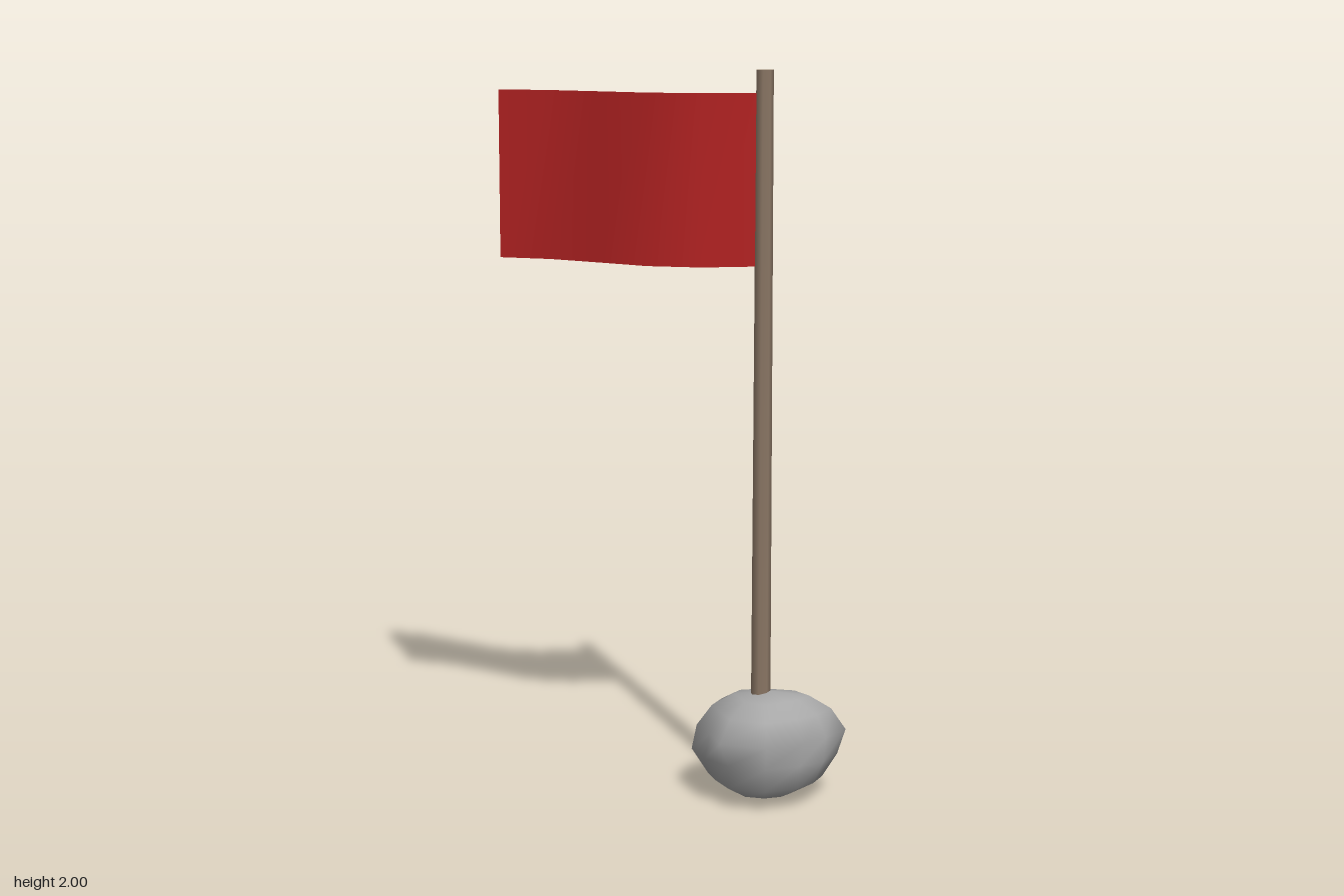
import * as THREE from 'three';

const rockGray = new THREE.MeshStandardMaterial({ color: 0xa8a8a8 });
rockGray.name = 'rock gray';
const poleBrown = new THREE.MeshStandardMaterial({ color: 0x8b7765 });
poleBrown.name = 'pole brown';
const flagRed = new THREE.MeshStandardMaterial({ color: 0xb22222, side: THREE.DoubleSide });
flagRed.name = 'flag red';

// Lumpy stone: one plan outline, scaled point by point at each height
function rockGeometry() {
  const cx = 0.27;
  const outline = [
    [-0.205, -0.005], [-0.19, -0.105], [-0.07, -0.15], [0.03, -0.18], [0.145, -0.14], [0.22, -0.055],
    [0.18, 0.035], [0.13, 0.1], [0.04, 0.175], [-0.09, 0.16], [-0.15, 0.075],
  ];
  const rings = [
    { y: 0.292, s: [0.42, 0.4, 0.42, 0.39, 0.5, 0.55, 0.55, 0.52, 0.5, 0.45, 0.42] },
    { y: 0.255, s: [0.72, 0.7, 0.74, 0.68, 0.78, 0.82, 0.85, 0.82, 0.78, 0.78, 0.75] },
    { y: 0.195, s: [0.93, 0.9, 0.9, 0.79, 0.9, 1, 1, 1, 1, 1, 0.92] },
    { y: 0.125, s: [1, 1, 1, 1, 1, 0.9, 0.96, 0.9, 0.8, 0.82, 1] },
    { y: 0.06, s: [0.78, 0.75, 0.8, 0.78, 0.8, 0.72, 0.8, 0.85, 0.77, 0.8, 0.82] },
    { y: 0.02, s: [0.42, 0.4, 0.45, 0.44, 0.42, 0.4, 0.42, 0.45, 0.4, 0.42, 0.44] },
  ];
  const n = outline.length;
  const positions = [];
  const index = [];
  for (const { y, s } of rings) {
    outline.forEach(([x, z], j) => positions.push(cx + x * s[j], y, z * s[j]));
  }
  const top = rings.length * n;
  const bottom = top + 1;
  positions.push(cx + 0.02, 0.307, 0, cx - 0.01, 0, 0);
  for (let j = 0; j < n; j++) {
    const k = (j + 1) % n;
    index.push(top, k, j);
    for (let i = 0; i < rings.length - 1; i++) {
      const a = i * n, b = a + n;
      index.push(a + j, a + k, b + k, a + j, b + k, b + j);
    }
    const last = (rings.length - 1) * n;
    index.push(bottom, last + j, last + k);
  }
  const geometry = new THREE.BufferGeometry();
  geometry.setAttribute('position', new THREE.Float32BufferAttribute(positions, 3));
  geometry.setIndex(index);
  geometry.computeVertexNormals();
  return geometry;
}

// Thin cloth sheet, bent in z along its length from the pole outwards
function flagGeometry() {
  const wave = [0, 0.06, 0.058, 0, -0.055, -0.07];
  const segments = wave.length - 1;
  const width = 0.745;
  const geometry = new THREE.PlaneGeometry(width, 0.46, segments, 1);
  const p = geometry.attributes.position;
  for (let i = 0; i < p.count; i++) {
    const t = 0.5 - p.getX(i) / width;
    p.setZ(i, wave[Math.round(t * segments)]);
  }
  geometry.computeVertexNormals();
  return geometry;
}

export function createModel() {
  const group = new THREE.Group();
  group.name = 'flagOnRock';
  const add = (name, geometry, material, x = 0, y = 0, z = 0) => {
    const mesh = new THREE.Mesh(geometry, material);
    mesh.name = name;
    mesh.position.set(x, y, z);
    group.add(mesh);
    return mesh;
  };

  add('rock', rockGeometry(), rockGray);
  // Slightly tapered pole, sunk into the stone
  add('pole', new THREE.CylinderGeometry(0.024, 0.028, 1.75, 7), poleBrown, 0.259, 1.125, -0.004);
  add('flag', flagGeometry(), flagRed, -0.1205, 1.71, 0);
  return group;
}
